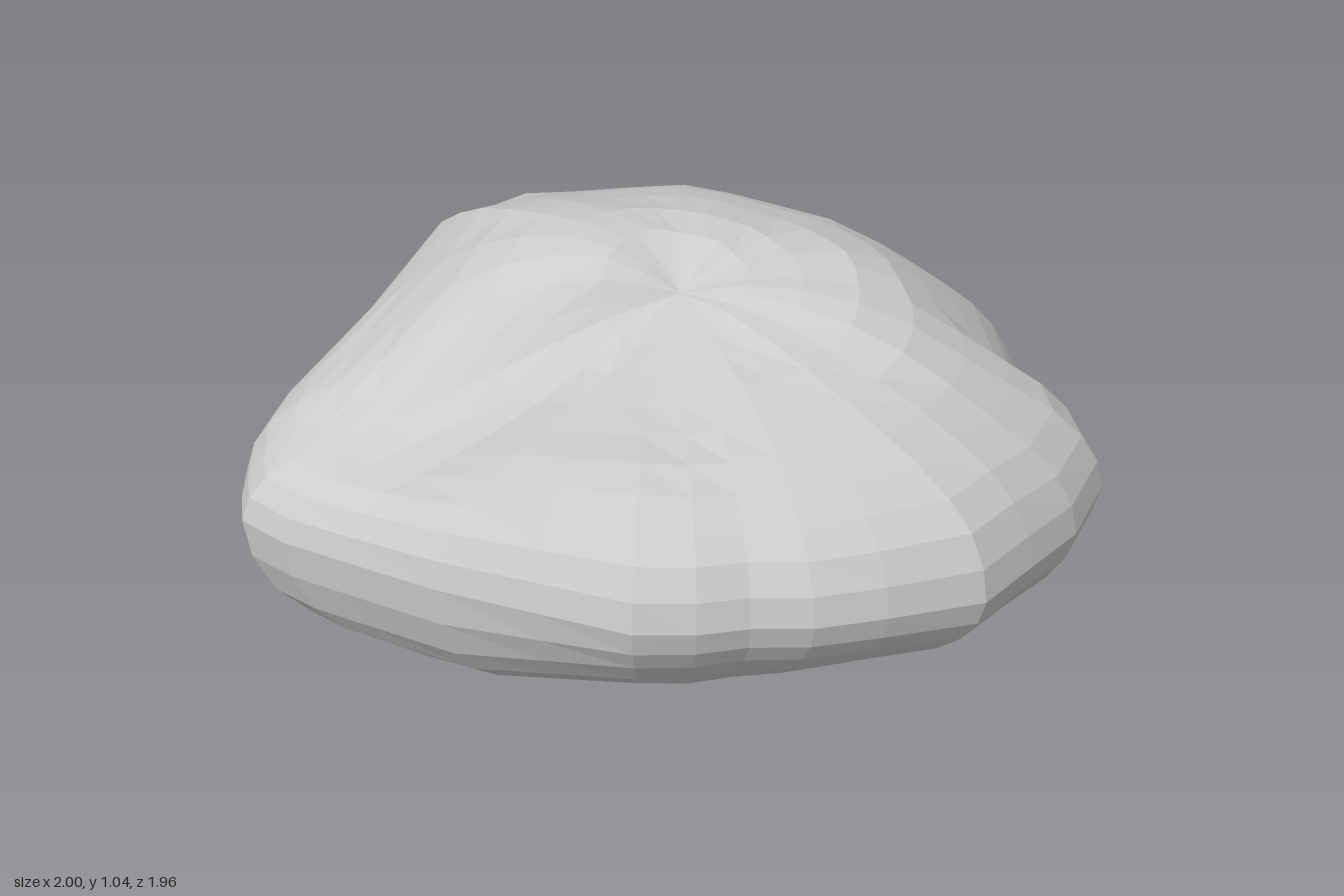
import * as THREE from 'three';

// Rim of the boulder seen from above (x, z), from +x towards +z
const RIM = [
  [0.96, 0.16], [0.92, 0.3], [0.98, 0.47], [0.95, 0.6], [0.78, 0.77], [0.6, 0.88], [0.44, 0.97],
  [0.2, 0.98], [0.03, 0.97], [-0.1, 0.93], [-0.22, 0.92], [-0.35, 0.88], [-0.5, 0.68], [-0.66, 0.46],
  [-0.82, 0.25], [-0.93, 0.12], [-1, 0], [-0.98, -0.1], [-0.94, -0.22], [-0.86, -0.34], [-0.6, -0.55],
  [-0.34, -0.83], [-0.25, -0.86], [-0.04, -0.98], [0.26, -0.87], [0.42, -0.72], [0.52, -0.58],
  [0.66, -0.43], [0.8, -0.28], [0.94, -0.1], [1, 0.03],
];

// Cross-section heights every 30 degrees, at the radius fractions in FRACTIONS
const FRACTIONS = [0.2, 0.5, 0.75, 0.93, 1, 0.93, 0.75, 0.5, 0.2];
const SECTIONS = [
  [1.0, 0.99, 0.83, 0.66, 0.52, 0.32, 0.17, 0.1, 0.06],
  [0.99, 0.95, 0.79, 0.65, 0.5, 0.34, 0.19, 0.11, 0.07],
  [0.96, 0.9, 0.82, 0.71, 0.54, 0.4, 0.27, 0.16, 0.09],
  [0.93, 0.89, 0.82, 0.73, 0.58, 0.45, 0.3, 0.19, 0.11],
  [0.89, 0.84, 0.83, 0.75, 0.6, 0.46, 0.29, 0.2, 0.13],
  [0.86, 0.8, 0.74, 0.65, 0.51, 0.29, 0.16, 0.08, 0.06],
  [0.88, 0.75, 0.66, 0.6, 0.48, 0.26, 0.12, 0.03, 0.01],
  [1.03, 0.96, 0.77, 0.63, 0.49, 0.22, 0.09, 0.01, 0.01],
  [1.04, 1.01, 0.91, 0.75, 0.55, 0.34, 0.17, 0.04, 0],
  [1.04, 0.98, 0.85, 0.74, 0.6, 0.43, 0.28, 0.14, 0.05],
  [1.03, 1.0, 0.9, 0.72, 0.58, 0.42, 0.26, 0.14, 0.07],
  [1.03, 0.99, 0.89, 0.67, 0.54, 0.34, 0.2, 0.11, 0.07],
];
const AXIS = { x: 0.05, z: 0.12, top: 0.95, bottom: 0.03 };
const RINGS = 22;

// Smoothly blended height of one section row at an azimuth
function heightAt(angle, row) {
  const n = SECTIONS.length;
  const t = ((angle / (2 * Math.PI)) * n + n) % n;
  const k = Math.floor(t) % n;
  const f = t - Math.floor(t);
  const s = f * f * (3 - 2 * f);
  return SECTIONS[k][row] * (1 - s) + SECTIONS[(k + 1) % n][row] * s;
}

// Average of a rim point and its neighbours, so notches fade towards the poles
function softRim(j) {
  const sum = [0, 0];
  for (let k = -2; k <= 2; k++) {
    const p = RIM[(j + k + RIM.length) % RIM.length];
    sum[0] += p[0] / 5;
    sum[1] += p[1] / 5;
  }
  return sum;
}

// Curve from the top pole over the rim to the bottom pole
function meridian([x, z], j) {
  const soft = softRim(j);
  const angle = Math.atan2(z - AXIS.z, x - AXIS.x);
  const points = FRACTIONS.map((f, row) => {
    const sharp = THREE.MathUtils.smoothstep(f, 0.4, 0.95);
    const px = THREE.MathUtils.lerp(soft[0], x, sharp);
    const pz = THREE.MathUtils.lerp(soft[1], z, sharp);
    return new THREE.Vector3(
      AXIS.x + (px - AXIS.x) * f, heightAt(angle, row), AXIS.z + (pz - AXIS.z) * f);
  });
  points.unshift(new THREE.Vector3(AXIS.x, AXIS.top, AXIS.z));
  points.push(new THREE.Vector3(AXIS.x, AXIS.bottom, AXIS.z));
  return new THREE.CatmullRomCurve3(points).getPoints(RINGS);
}

export function createModel() {
  const positions = [], indices = [];
  const columns = RIM.length, stride = RINGS + 1;
  RIM.forEach((point, j) => {
    for (const p of meridian(point, j)) positions.push(p.x, p.y, p.z);
  });

  // Skin neighbouring meridians, with single triangles at the poles
  for (let j = 0; j < columns; j++) {
    const here = j * stride, next = ((j + 1) % columns) * stride;
    for (let i = 0; i < RINGS; i++) {
      if (i > 0) indices.push(here + i, next + i, here + i + 1);
      if (i < RINGS - 1) indices.push(next + i, next + i + 1, here + i + 1);
    }
  }

  const geometry = new THREE.BufferGeometry();
  geometry.setAttribute('position', new THREE.Float32BufferAttribute(positions, 3));
  geometry.setIndex(indices);
  geometry.computeVertexNormals();
  geometry.computeBoundingBox();
  geometry.translate(0, -geometry.boundingBox.min.y, 0);

  const boulder = new THREE.Mesh(geometry,
    new THREE.MeshStandardMaterial({ color: 0xcccccc, flatShading: true }));
  boulder.name = 'boulder';
  const group = new THREE.Group();
  group.name = 'rock';
  group.add(boulder);
  return group;
}
